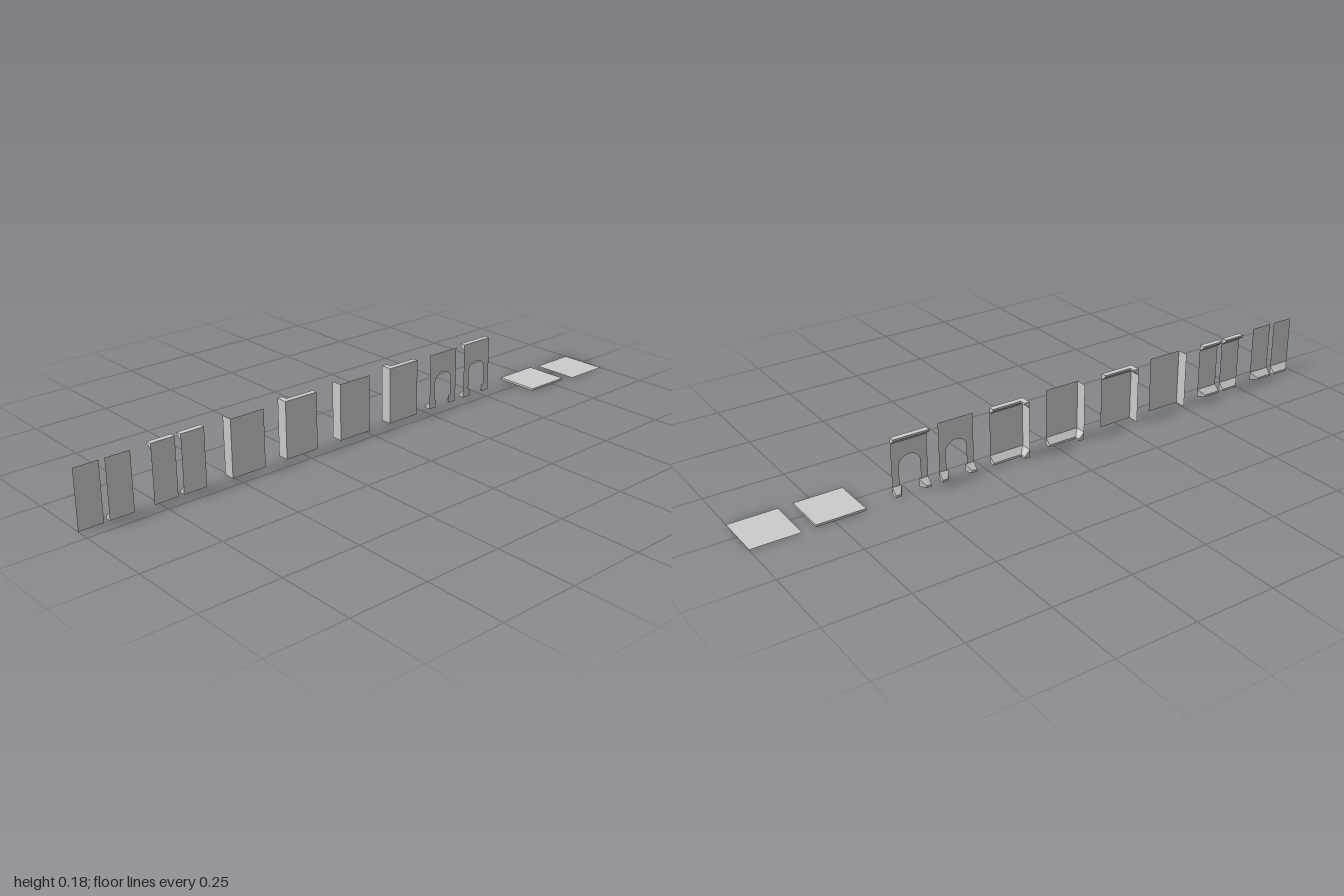
import * as THREE from 'three';

const H = 0.184;      // wall height
const D = 0.0185;     // trim depth
const mat = new THREE.MeshStandardMaterial({ color: 0xcccccc, flatShading: true, side: THREE.DoubleSide });

const SKIRT = [[0, 0], [-D, 0], [-D, 0.007], [0, 0.025]];
const CORNICE = [[0, H], [-D, H], [-D, 0.178], [0, 0.163]];

function mesh(name, geometry, parent) {
  const m = new THREE.Mesh(geometry, mat);
  m.name = name;
  parent.add(m);
  return m;
}

// Trim running along +z, projecting to -x; m0 and m1 mitre its ends
function trim(name, parent, profile, length, m0 = 0, m1 = 0) {
  const shape = new THREE.Shape(profile.map(([x, y]) => new THREE.Vector2(x, y)));
  const g = new THREE.ExtrudeGeometry(shape, { depth: length, bevelEnabled: false });
  const p = g.attributes.position;
  for (let i = 0; i < p.count; i++) {
    const z = p.getZ(i), out = -p.getX(i);
    p.setZ(i, z < length / 2 ? z + m0 * out : z - m1 * out);
  }
  g.computeVertexNormals();
  return mesh(name, g, parent);
}

// Thin sheet in the yz plane from z = 0 to z = length, facing -x
function sheet(name, parent, length) {
  const g = new THREE.PlaneGeometry(length, H);
  g.rotateY(-Math.PI / 2);
  g.translate(0, H / 2, length / 2);
  return mesh(name, g, parent);
}

function piece(root, name, x, z) {
  const g = new THREE.Group();
  g.name = name;
  g.position.set(x, 0, z);
  root.add(g);
  return g;
}

// Half-width wall with a mitred skirting at one end
function halfWall(root, name, z, m0, m1, cornice) {
  const g = piece(root, name, -0.0455, z), L = 0.077;
  sheet('wallSheet', g, L);
  trim('skirting', g, SKIRT, L, m0, m1);
  if (cornice) trim('cornice', g, CORNICE, L);
}

// Wall folded back at its front end, with optional trims on the inside
function cornerWall(root, name, z, skirting, cornice) {
  const g = piece(root, name, -0.041, z), L = 0.117, R = 0.037;
  const back = new THREE.Group();
  back.name = 'returnSide';
  back.position.z = L;
  back.rotation.y = -Math.PI / 2;
  g.add(back);
  sheet('wallSheet', g, L);
  sheet('returnSheet', back, R);
  for (const [on, label, profile] of [[skirting, 'skirting', SKIRT], [cornice, 'cornice', CORNICE]]) {
    if (!on) continue;
    trim(label, g, profile, L, 0, 1);
    trim(label + 'Return', back, profile, R, 1, 0);
  }
}

// Wall with a round-headed opening whose feet flare inwards
function archWall(root, name, z, cornice) {
  const g = piece(root, name, -0.043, z), L = 0.117, c = L / 2, r = 0.035, foot = 0.03;
  const s = new THREE.Shape();
  s.moveTo(0, 0);
  s.lineTo(foot, 0);
  s.lineTo(foot, 0.007);
  s.lineTo(c - r, 0.024);
  s.lineTo(c - r, 0.085);
  s.absellipse(c, 0.085, r, 0.031, Math.PI, 0, true);
  s.lineTo(c + r, 0.024);
  s.lineTo(L - foot, 0.007);
  s.lineTo(L - foot, 0);
  s.lineTo(L, 0);
  s.lineTo(L, H);
  s.lineTo(0, H);
  const geo = new THREE.ShapeGeometry(s, 10);
  geo.rotateY(-Math.PI / 2);
  mesh('archSheet', geo, g);
  trim('footBack', g, SKIRT, foot, 0, 0.7);
  trim('footFront', g, SKIRT, foot, 0.7, 0).position.z = L - foot;
  if (cornice) trim('cornice', g, CORNICE, L);
}

export function createModel() {
  const root = new THREE.Group();
  root.name = 'wallKit';

  // Half walls, in mirrored pairs
  halfWall(root, 'halfWallFront', 0.923, 0, 1, false);
  halfWall(root, 'halfWallBack', 0.828, 1, 0, false);
  halfWall(root, 'halfWallCorniceFront', 0.688, 0, 1, true);
  halfWall(root, 'halfWallCorniceBack', 0.592, 1, 0, true);

  // Corner walls
  cornerWall(root, 'cornerPlain', 0.389, false, false);
  cornerWall(root, 'cornerCornice', 0.193, false, true);
  cornerWall(root, 'cornerSkirting', -0.016, true, false);
  cornerWall(root, 'cornerFull', -0.219, true, true);

  // Arched walls
  archWall(root, 'archWall', -0.395, false);
  archWall(root, 'archWallCornice', -0.55, true);

  // Floor slab and thin floor tile
  const slab = mesh('floorSlab', new THREE.BoxGeometry(0.145, 0.007, 0.153), root);
  slab.position.set(-0.003, 0.0035, -0.728);
  const tile = mesh('floorTile', new THREE.PlaneGeometry(0.156, 0.153).rotateX(-Math.PI / 2), root);
  tile.position.z = -0.9235;

  return root;
}
